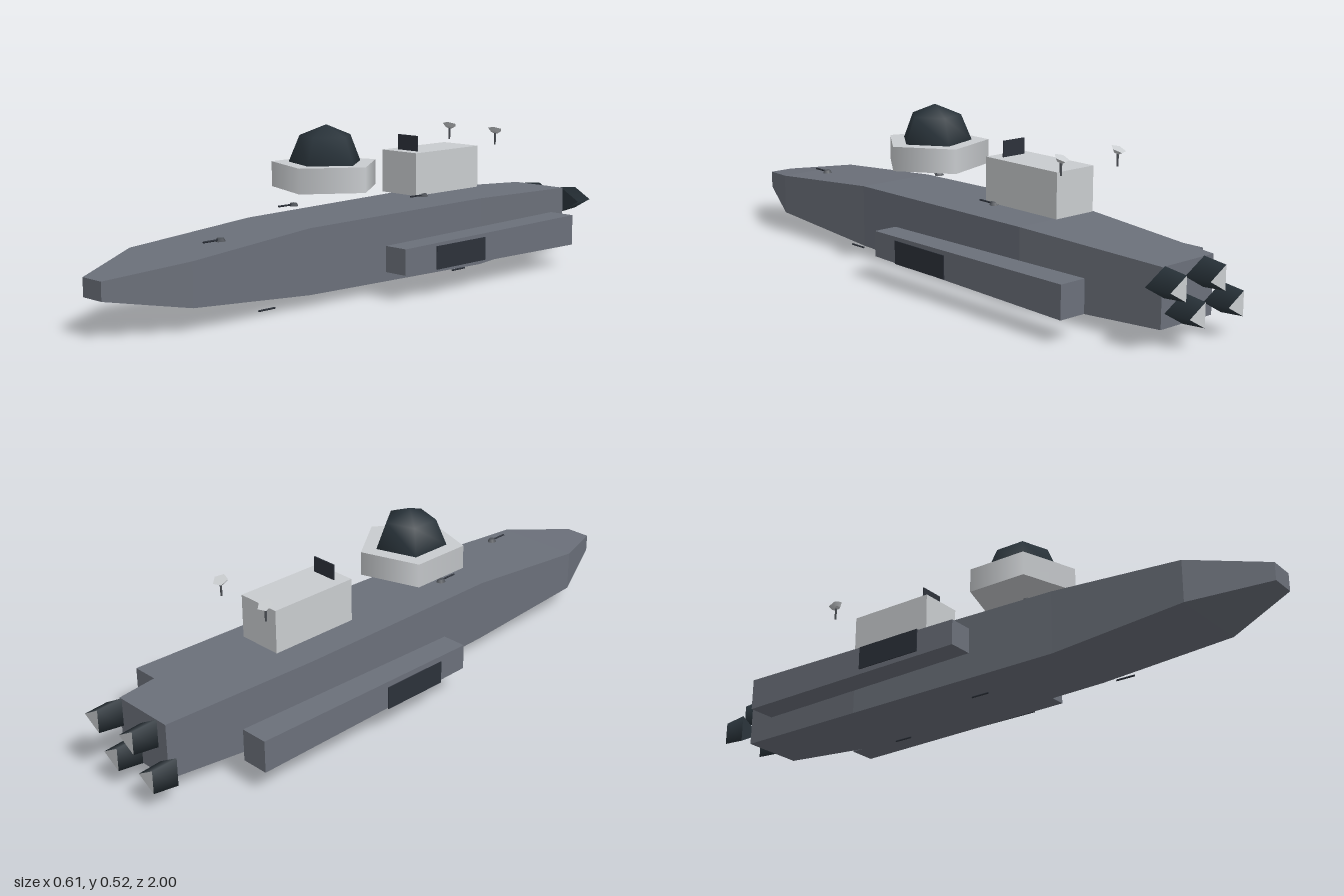
import * as THREE from 'three';

const mat = (name, color) => {
  const m = new THREE.MeshStandardMaterial({ color });
  m.name = name;
  return m;
};

// Closed loft through rectangular sections [z, halfWidth, yLow, yHigh], front to back
function loft(sections) {
  const rings = sections.map(([z, w, lo, hi]) => [[w, hi, z], [-w, hi, z], [-w, lo, z], [w, lo, z]]);
  const pos = [];
  const quad = (a, b, c, d) => pos.push(...a, ...b, ...c, ...a, ...c, ...d);
  quad(...rings[0]);
  for (let i = 0; i < rings.length - 1; i++) {
    const a = rings[i], b = rings[i + 1];
    for (let k = 0; k < 4; k++) {
      const n = (k + 1) % 4;
      quad(a[k], b[k], b[n], a[n]);
    }
  }
  quad(...[...rings[rings.length - 1]].reverse());
  const g = new THREE.BufferGeometry();
  g.setAttribute('position', new THREE.Float32BufferAttribute(pos, 3));
  g.computeVertexNormals();
  return g;
}

export function createModel() {
  const model = new THREE.Group();
  model.name = 'spaceship';
  const hullGrey = mat('hullGrey', 0x6b707a);
  const lightGrey = mat('lightGrey', 0xc9cccf);
  const dark = mat('darkBlueGrey', 0x29333a);
  const panelDark = mat('panelDark', 0x2c313a);
  const gunGrey = mat('gunGrey', 0x4d5157);

  const add = (name, geo, material, x = 0, y = 0, z = 0, parent = model) => {
    const m = new THREE.Mesh(geo, material);
    m.name = name;
    m.position.set(x, y, z);
    parent.add(m);
    return m;
  };

  // Main hull
  add('hull', loft([
    [1, 0.042, 0.108, 0.163],
    [0.77, 0.142, 0.07, 0.2],
    [0.33, 0.136, 0.037, 0.236],
    [-0.42, 0.15, 0.027, 0.245],
    [-0.92, 0.104, 0.05, 0.224],
  ]), hullGrey);

  // Side pods with dark outer panels
  for (const s of [1, -1]) {
    add('sidePod', loft([[0.08, 0.04, 0.08, 0.16], [-0.73, 0.045, 0.07, 0.17]]), hullGrey, s * 0.245);
    add('podPanel', new THREE.BoxGeometry(0.003, 0.072, 0.225), panelDark, s * 0.302, 0.12, -0.152);
  }

  // Command tower: five-sided drum with a faceted dome, one corner towards +x
  add('towerDrum', new THREE.CylinderGeometry(0.17, 0.17, 0.077, 5).rotateY(Math.PI / 2),
    lightGrey, 0, 0.361, 0.132);
  add('towerDome', new THREE.SphereGeometry(0.117, 5, 2, 0, Math.PI * 2, 0, Math.PI / 2).rotateY(Math.PI),
    dark, 0, 0.399, 0.132);

  // Rear deckhouse and its upright sensor panel
  add('deckhouse', new THREE.BoxGeometry(0.148, 0.137, 0.3), lightGrey, 0, 0.337, -0.342);
  add('sensorPanel', new THREE.BoxGeometry(0.085, 0.05, 0.004), panelDark, 0, 0.43, -0.233);

  // Dish antennas
  for (const [x, z] of [[-0.107, -0.555], [0.107, -0.54]]) {
    const antenna = new THREE.Group();
    antenna.name = 'antenna';
    antenna.position.set(x, 0.408, z);
    add('antennaMast', new THREE.CylinderGeometry(0.004, 0.003, 0.038, 5), gunGrey, 0, 0.019, 0, antenna);
    const dish = add('antennaDish', new THREE.CylinderGeometry(0.024, 0.012, 0.012, 5).rotateY(Math.PI / 2),
      lightGrey, 0, 0.046, 0, antenna);
    dish.rotation.set(-0.4, 0, 0.1);
    model.add(antenna);
  }

  // Deck guns alternate sides; belly guns are bare barrels
  const barrel = (len) => new THREE.CylinderGeometry(0.003, 0.003, len, 5).rotateX(Math.PI / 2);
  for (const [x, y, z] of [[0.074, 0.231, 0.615], [-0.074, 0.269, 0.2], [0.074, 0.269, -0.228]]) {
    add('deckGunBase', new THREE.CylinderGeometry(0.01, 0.016, 0.01, 5).rotateY(Math.PI / 2), gunGrey, x, y, z);
    add('deckGunBarrel', barrel(0.062), panelDark, x, y, z + 0.031);
  }
  [0.445, 0.025, -0.4].forEach((z, i) =>
    add('bellyGun', barrel(0.062), panelDark, i % 2 ? -0.075 : 0.075, 0.003, z));

  // Staggered three-sided thrusters, narrower and pale at the rear
  for (const [x, y] of [[0.12, 0.181], [-0.04, 0.181], [0.04, 0.093], [-0.12, 0.093]]) {
    const geo = new THREE.CylinderGeometry(0.051, 0.042, 0.08, 3).rotateY(Math.PI / 2).rotateX(Math.PI / 2);
    add('thruster', geo, [dark, dark, lightGrey], x, y, -0.96);
  }
  return model;
}
